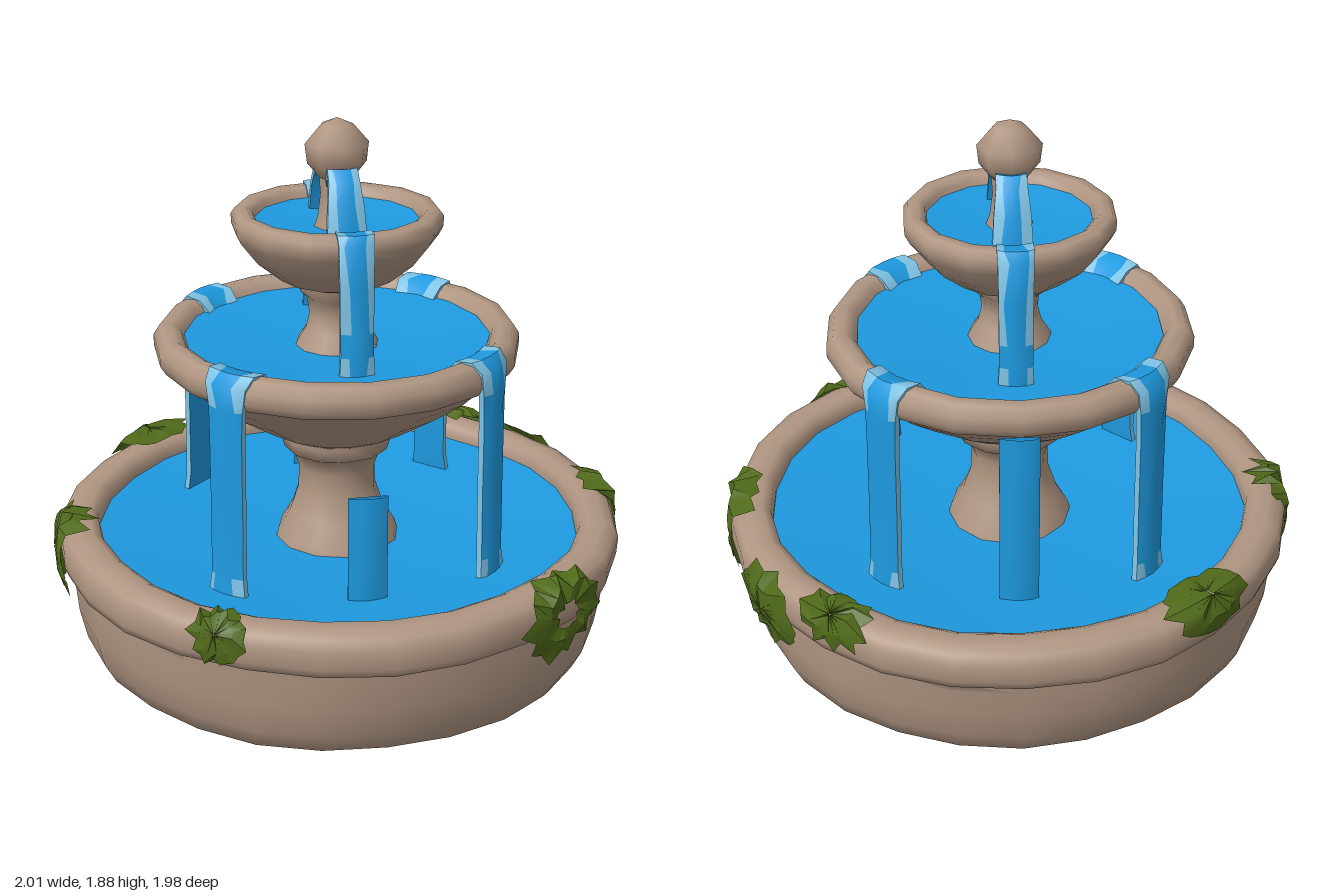
import * as THREE from 'three';
import { mergeVertices, toCreasedNormals } from 'three/addons/utils/BufferGeometryUtils.js';

const mat = (name, color, opts = {}) => {
  const m = new THREE.MeshStandardMaterial({ color, ...opts });
  m.name = name;
  return m;
};

function seeded(seed) {
  let s = seed;
  return () => (s = (s * 16807) % 2147483647) / 2147483647;
}

// Turned piece; profile is [radius, y] from underside outward and up
function turned(name, profile, sides, material, wobble = 0, crease = 1.2) {
  let g = new THREE.LatheGeometry(profile.map(([r, y]) => new THREE.Vector2(r, y)), sides);
  g.deleteAttribute('uv');
  g.deleteAttribute('normal');
  g = mergeVertices(g, 1e-4);
  const p = g.attributes.position;
  for (let i = 0; i < p.count && wobble; i++) {
    const x = p.getX(i), y = p.getY(i), z = p.getZ(i), a = Math.atan2(z, x);
    const k = 1 + wobble * (Math.sin(a * 7 + y * 9) + 0.6 * Math.sin(a * 4 - y * 14));
    p.setXYZ(i, x * k, y, z * k);
  }
  const mesh = new THREE.Mesh(toCreasedNormals(g, crease), material);
  mesh.name = name;
  return mesh;
}

// Thick sheet of water along rows of [radius, y, halfWidth], with foam on its sides and ragged edges
function waterSheet(name, rows, angle, materials, foamRows, seed, thick = 0.02) {
  const rnd = seeded(seed), cols = [-1, -0.55, 0, 0.55, 1], n = 7;
  const pos = [], blue = [], foam = [];
  rows.forEach(([r, y, w], i) => {
    const a = rows[Math.max(i - 1, 0)], b = rows[Math.min(i + 1, rows.length - 1)];
    const dr = b[0] - a[0], dy = b[1] - a[1], len = Math.hypot(dr, dy);
    const nr = (dy / len) * thick, ny = (-dr / len) * thick;
    cols.forEach((u) => {
      const ragged = Math.abs(u) === 0.55 ? 1 + (rnd() - 0.5) * 0.7 : 1;
      pos.push(u * w * ragged, y, r - 0.016 * u * u);
    });
    [1, -1].forEach((u) => pos.push(u * w, y + ny, r + nr - 0.016));
  });
  for (let i = 0; i < rows.length - 1; i++) {
    for (let j = 0; j < n; j++) {
      const k = (j + 1) % n;
      const a = i * n + j, b = i * n + k;
      const front = j < 4, side = j === 4 || j === 6, edge = j === 0 || j === 3;
      const isFoam = foamRows.length && (side || (front && edge && foamRows.includes(i)));
      (isFoam ? foam : blue).push(a, a + n, b, b, a + n, b + n);
    }
  }
  let g = new THREE.BufferGeometry();
  g.setAttribute('position', new THREE.Float32BufferAttribute(pos, 3));
  g.setIndex([...blue, ...foam]);
  g = toCreasedNormals(g, 0.9);
  g.addGroup(0, blue.length, 0);
  g.addGroup(blue.length, foam.length, 1);
  const mesh = new THREE.Mesh(g, materials);
  mesh.name = name;
  mesh.rotation.y = angle;
  return mesh;
}

// Point on the basin rim: s < 0 runs inward over the top, s > 0 runs down the side
function rimPoint(angle, s, lift) {
  const r = s < 0 ? 0.945 + s : s < 0.17 ? Math.min(0.978, 0.945 + s) + lift * 0.7 : 0.957 + lift;
  const y = s < 0 ? 0.48 + lift : 0.48 + lift * Math.max(0, 1 - s * 10) - s;
  return [r * Math.cos(angle), y, r * Math.sin(angle)];
}

// Ragged leafy patch draped over the rim, optionally with a bare middle
function mossPatch({ deg, w, h, s, hole }, material, seed) {
  const rnd = seeded(seed), n = 22, pos = [], idx = [];
  const rings = hole ? [[0.28, 0.006], [0.6, 0.026], [1, 0.012]] : [[0.02, 0.03], [0.6, 0.026], [1, 0.012]];
  rings.forEach(([k, lift], ring) => {
    for (let i = 0; i < n; i++) {
      const t = (i / n) * Math.PI * 2;
      const j = ring === 2 ? (i % 2 ? 0.76 : 0.94) + rnd() * 0.28 : 0.82 + rnd() * 0.34;
      const a = (deg * Math.PI) / 180 + (Math.cos(t) * w * k * j) / 0.96;
      pos.push(...rimPoint(a, s + Math.sin(t) * h * k * j, lift + rnd() * 0.014));
    }
  });
  for (let r = 0; r < 2; r++) {
    for (let i = 0; i < n; i++) {
      const a = r * n + i, b = r * n + ((i + 1) % n);
      idx.push(a, b, a + n, b, b + n, a + n);
    }
  }
  const g = new THREE.BufferGeometry();
  g.setAttribute('position', new THREE.Float32BufferAttribute(pos, 3));
  g.setIndex(idx);
  const mesh = new THREE.Mesh(toCreasedNormals(g, 0.5), material);
  mesh.name = 'mossPatch';
  return mesh;
}

export function createModel() {
  const model = new THREE.Group();
  model.name = 'tieredFountain';
  const stone = mat('stone', 0xb09682);
  const water = mat('water', 0x1e9ae0, { side: THREE.DoubleSide });
  const foam = mat('foam', 0x80c4e6, { side: THREE.DoubleSide });
  const moss = mat('moss', 0x506a1a, { side: THREE.DoubleSide });

  // Large basin with lumpy rounded wall, heavy rim and hollow underside
  model.add(turned('basin', [
    [0, 0.06], [0.66, 0.06], [0.7, 0.055], [0.74, 0.03], [0.79, 0.006], [0.85, 0], [0.885, 0.02], [0.92, 0.09],
    [0.945, 0.2], [0.952, 0.3], [0.955, 0.335], [0.975, 0.34], [0.985, 0.37], [0.985, 0.43], [0.97, 0.465],
    [0.93, 0.482], [0.88, 0.482], [0.85, 0.465], [0.842, 0.43], [0.84, 0.34],
  ], 26, stone, 0.005));
  model.add(turned('basinWater', [[0.85, 0.42], [0.5, 0.385], [0, 0.36]], 26, water));

  const tiers = new THREE.Group();
  tiers.name = 'tiers';
  tiers.position.x = -0.006;
  model.add(tiers);

  // Lower pedestal and middle bowl
  tiers.add(turned('lowerPedestal', [
    [0.225, 0.34], [0.21, 0.4], [0.168, 0.47], [0.138, 0.56], [0.135, 0.64], [0.155, 0.7],
    [0.185, 0.715], [0.198, 0.76], [0.2, 0.82],
  ], 12, stone, 0.006));
  tiers.add(turned('middleBowl', [
    [0.1, 0.77], [0.2, 0.775], [0.27, 0.81], [0.415, 0.905], [0.53, 0.99], [0.575, 1.04], [0.61, 1.05],
    [0.628, 1.08], [0.628, 1.12], [0.605, 1.155], [0.565, 1.16], [0.535, 1.14], [0.52, 1.1], [0.5, 1.05],
  ], 18, stone, 0.003));
  tiers.add(turned('middleWater', [[0.525, 1.12], [0.3, 1.1], [0, 1.08]], 18, water));

  // Upper pedestal and top bowl
  tiers.add(turned('upperPedestal', [
    [0.15, 1.06], [0.14, 1.1], [0.108, 1.15], [0.095, 1.2], [0.102, 1.26], [0.125, 1.28], [0.128, 1.34],
  ], 12, stone, 0.006));
  tiers.add(turned('topBowl', [
    [0.05, 1.31], [0.14, 1.312], [0.2, 1.335], [0.285, 1.405], [0.342, 1.48], [0.357, 1.51],
    [0.358, 1.545], [0.343, 1.565], [0.305, 1.567], [0.285, 1.55], [0.27, 1.48],
  ], 14, stone, 0.003));
  tiers.add(turned('topWater', [[0.28, 1.53], [0, 1.5]], 14, water));

  // Finial: short stem with a blunt ball
  tiers.add(turned('finialStem', [[0.085, 1.49], [0.066, 1.54], [0.056, 1.62], [0.062, 1.7]], 8, stone));
  tiers.add(turned('finialBall', [
    [0, 1.665], [0.06, 1.675], [0.1, 1.725], [0.108, 1.79], [0.055, 1.852], [0, 1.875],
  ], 8, stone, 0.01, 1.5));

  const wet = [water, foam];
  // Spouts and falls of the top bowl, front and back
  [0, Math.PI].forEach((angle, i) => {
    tiers.add(waterSheet('spout', [
      [0.05, 1.67, 0.045], [0.08, 1.718, 0.048], [0.115, 1.728, 0.05], [0.155, 1.69, 0.052],
      [0.187, 1.62, 0.06], [0.208, 1.52, 0.066],
    ], angle, wet, [2, 3, 4], 11 + i, 0.025));
    tiers.add(waterSheet('topFall', [
      [0.27, 1.54, 0.055], [0.3, 1.572, 0.058], [0.35, 1.573, 0.06], [0.372, 1.54, 0.058],
      [0.378, 1.4, 0.056], [0.383, 1.25, 0.055], [0.387, 1.17, 0.055], [0.39, 1.08, 0.06],
    ], angle, wet, [0, 1, 2, 3, 4, 6], 21 + i));
  });

  // Four diagonal falls of the middle bowl
  for (let i = 0; i < 4; i++) {
    tiers.add(waterSheet('middleFall', [
      [0.505, 1.115, 0.08], [0.545, 1.16, 0.09], [0.605, 1.167, 0.09], [0.64, 1.13, 0.08], [0.642, 1.05, 0.068],
      [0.644, 0.95, 0.065], [0.646, 0.7, 0.065], [0.65, 0.46, 0.065], [0.656, 0.38, 0.076],
    ], Math.PI / 4 + (i * Math.PI) / 2, wet, [0, 1, 2, 3, 7], 31 + i));
  }

  // Free-standing sheets of water in the basin
  [[0, 0.76], [Math.PI, 1.02]].forEach(([angle, top], i) => {
    tiers.add(waterSheet('basinJet', [[0.58, top, 0.066], [0.58, 0.36, 0.066]], angle, wet, [], 51 + i, 0.005));
  });

  // Moss clumps around the rim
  const clumps = new THREE.Group();
  clumps.name = 'moss';
  [
    { deg: 51, w: 0.19, h: 0.15, s: 0.1, hole: true },
    { deg: 123, w: 0.09, h: 0.09, s: 0.04 },
    { deg: 181, w: 0.15, h: 0.16, s: 0.09 },
    { deg: 0, w: 0.19, h: 0.16, s: 0.1, hole: true },
    { deg: -31, w: 0.18, h: 0.12, s: 0.13 },
    { deg: -51, w: 0.13, h: 0.09, s: 0.01 },
    { deg: 230, w: 0.17, h: 0.1, s: 0.0 },
  ].forEach((c, i) => clumps.add(mossPatch(c, moss, 101 + i * 37)));
  model.add(clumps);
  return model;
}
